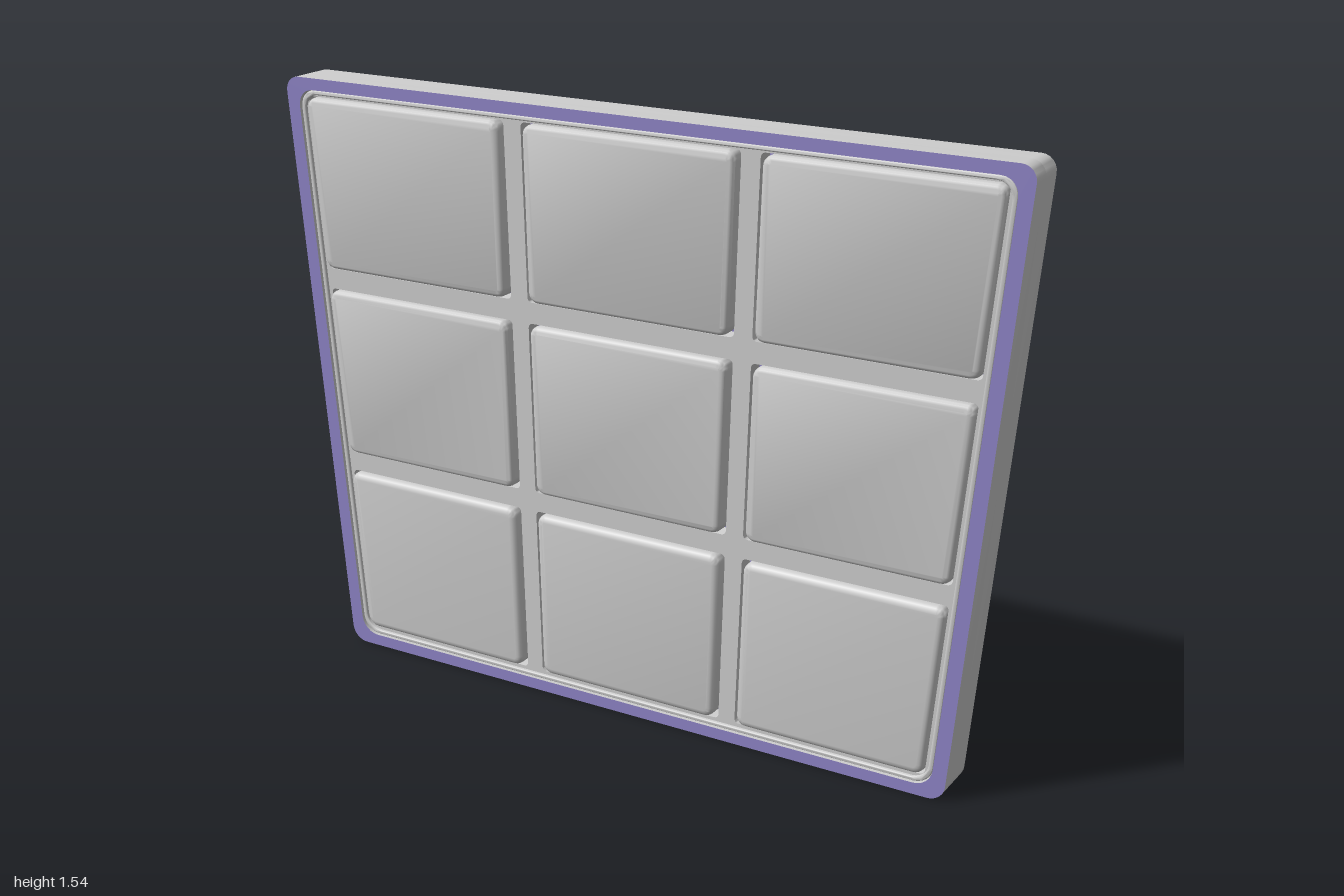
import * as THREE from 'three';
import { toCreasedNormals } from 'three/addons/utils/BufferGeometryUtils.js';

const purple = new THREE.MeshStandardMaterial({ color: 0x8e84c6 });
purple.name = 'purple';
const grey = new THREE.MeshStandardMaterial({ color: 0xcecece });
grey.name = 'grey';

const HEIGHT = 1.54, BACK = -0.062, FLOOR = 0, FRONT = 0.056, TOP = 0.062;

// slanted edges: x as a function of height
const side = (inset) => (y) => 0.869 + 0.0877 * y - inset;
const barOuter = (y) => 0.304 + 0.0295 * y;
const barInner = (y) => 0.259 + 0.0265 * y;
const mirror = (f) => (y) => -f(y);

// quad between two slanted edges, with rounded corners
function slantedQuad(left, right, y0, y1, r, Type = THREE.Shape) {
  const p = [[left, y0], [right, y0], [right, y1], [left, y1]].map(([f, y]) => new THREE.Vector2(f(y), y));
  const shape = new Type();
  p.forEach((c, i) => {
    const toward = (q) => c.clone().add(q.clone().sub(c).setLength(r));
    const a = toward(p[(i + 3) % 4]), b = toward(p[(i + 1) % 4]);
    if (i === 0) shape.moveTo(a.x, a.y); else shape.lineTo(a.x, a.y);
    // circle-like corner
    const k = 0.55;
    const c1 = a.clone().lerp(c, k), c2 = b.clone().lerp(c, k);
    shape.bezierCurveTo(c1.x, c1.y, c2.x, c2.y, b.x, b.y);
  });
  shape.closePath();
  return shape;
}

const outline = (inset, insetY, r, Type) =>
  slantedQuad(mirror(side(inset)), side(inset), insetY, HEIGHT - insetY, r, Type);

// extrusion between two depths, with an optional rounded edge kept inside the outline
function slab(name, shape, z0, z1, material, bevel = 0) {
  const geometry = new THREE.ExtrudeGeometry(shape, {
    depth: z1 - z0 - 2 * bevel, curveSegments: 6,
    bevelEnabled: bevel > 0, bevelThickness: bevel, bevelSize: bevel, bevelOffset: -bevel, bevelSegments: 4,
  });
  geometry.translate(0, 0, z0 + bevel);
  const mesh = new THREE.Mesh(toCreasedNormals(geometry, 0.7), material);
  mesh.name = name;
  return mesh;
}

export function createModel() {
  const model = new THREE.Group();
  model.name = 'panel';

  // tapered body: solid back and open front frame, purple faces with grey edges
  model.add(slab('backPlate', outline(0, 0, 0.04), BACK, FLOOR, [purple, grey]));
  const frame = outline(0, 0, 0.04);
  frame.holes.push(outline(0.036, 0.03, 0.045, THREE.Path));
  model.add(slab('frontFrame', frame, FLOOR, FRONT, [purple, grey]));

  // thin rounded lip inside the frame
  const lip = outline(0.038, 0.032, 0.045);
  lip.holes.push(outline(0.05, 0.043, 0.04, THREE.Path));
  model.add(slab('innerLip', lip, FLOOR, 0.052, grey, 0.004));

  // lattice of bars with one window per pad
  const lattice = outline(0.037, 0.031, 0.045);
  const rows = [[0.052, 0.497], [0.548, 0.993], [1.047, 1.492]];
  const windows = [
    [mirror(side(0.059)), mirror(barOuter)],
    [mirror(barInner), barInner],
    [barOuter, side(0.059)],
  ];
  // pads leave a narrow gap beside the upright bars
  const gap = 0.009;
  const padInsets = [[0, gap], [gap, gap], [gap, 0]];
  const pads = new THREE.Group();
  pads.name = 'pads';
  for (const [y0, y1] of rows) {
    windows.forEach(([left, right], i) => {
      lattice.holes.push(slantedQuad(left, right, y0, y1, 0.012, THREE.Path));
      const [a, b] = padInsets[i];
      const shape = slantedQuad((y) => left(y) + a, (y) => right(y) - b, y0 + 0.002, y1 - 0.002, 0.026);
      pads.add(slab('pad', shape, FLOOR, TOP, grey, 0.018));
    });
  }
  model.add(slab('lattice', lattice, FLOOR, 0.044, grey), pads);
  return model;
}
